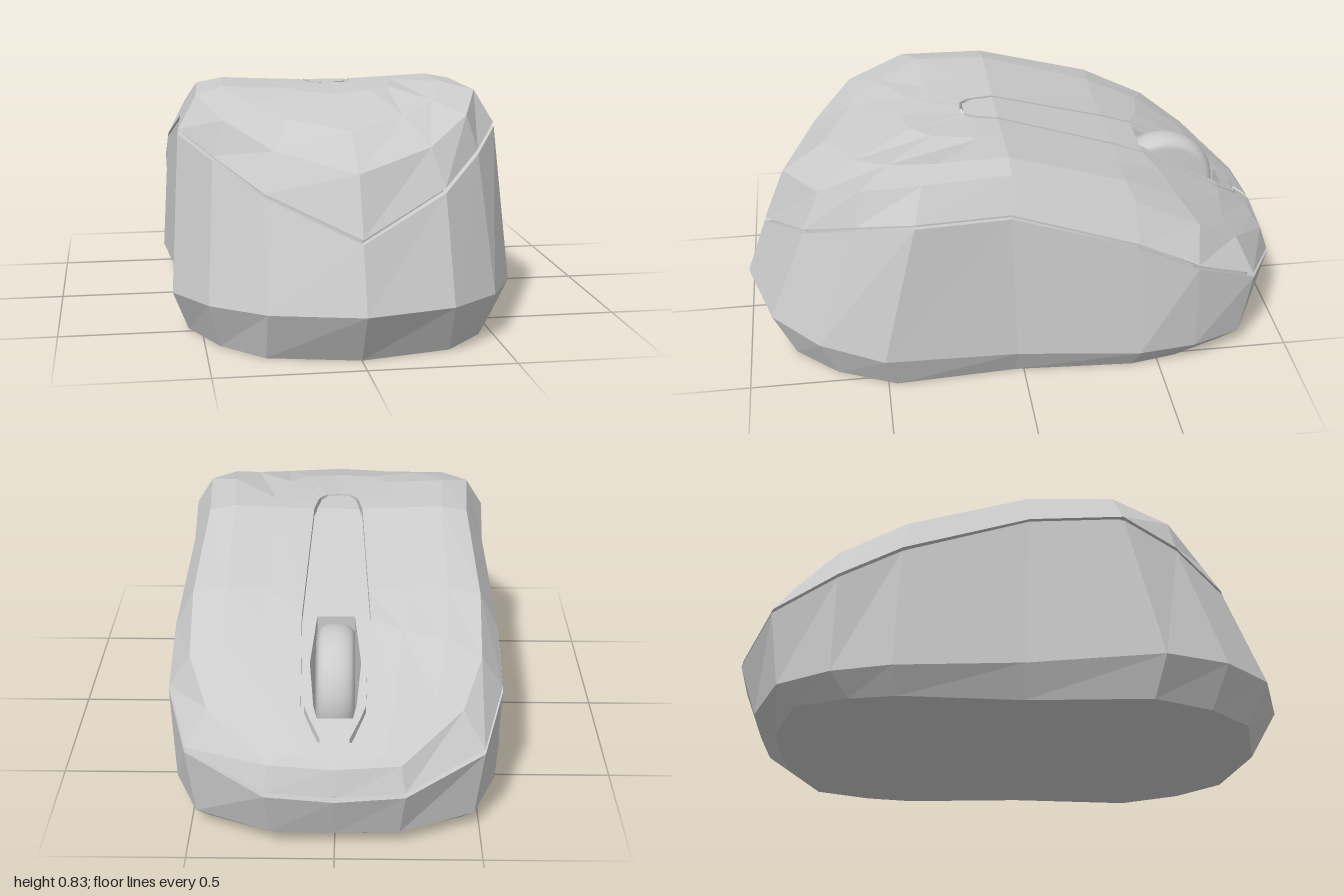
import * as THREE from 'three';

const material = new THREE.MeshStandardMaterial({ color: 0xcccccc, flatShading: true });
const openMaterial = new THREE.MeshStandardMaterial({ color: 0xcccccc, flatShading: true, side: THREE.DoubleSide });
const smoothMaterial = new THREE.MeshStandardMaterial({ color: 0xcccccc });

// Height of the top surface along the centre line: [z, y]
const SPINE = [[0.2, 0.826], [0.04, 0.822], [-0.38, 0.697], [-0.5, 0.655], [-0.8, 0.48], [-0.97, 0.345]];
function spineY(z) {
  for (let i = 1; i < SPINE.length; i++) {
    const [z0, y0] = SPINE[i - 1], [z1, y1] = SPINE[i];
    if (z >= z1 || i === SPINE.length - 1) return y0 + (y1 - y0) * Math.min(1, Math.max(0, (z0 - z) / (z0 - z1)));
  }
}

function meshFrom(name, positions, mat) {
  const geometry = new THREE.BufferGeometry();
  geometry.setAttribute('position', new THREE.Float32BufferAttribute(positions, 3));
  geometry.computeVertexNormals();
  const mesh = new THREE.Mesh(geometry, mat);
  mesh.name = name;
  return mesh;
}

function quad(out, a, b, c, d) {
  out.push(...a, ...b, ...c, ...a, ...c, ...d);
}

// Skins half rings of [x, z, y] points and mirrors them across x = 0
function loft(name, rings, mat = material) {
  const out = [];
  for (const side of [1, -1]) {
    const p = ([x, z, y]) => [x * side, y, z];
    for (let r = 0; r < rings.length - 1; r++) {
      const lo = rings[r], hi = rings[r + 1];
      for (let i = 0; i < lo.length - 1; i++) {
        const q = [p(lo[i]), p(lo[i + 1]), p(hi[i + 1]), p(hi[i])];
        if (side < 0) q.reverse();
        quad(out, ...q);
      }
    }
  }
  return meshFrom(name, out, mat);
}

// Half outlines from the palm end to the button end: [x, z, y]
const base = [[0, 0.9, 0], [0.31, 0.83, 0], [0.45, 0.68, 0], [0.545, 0.47, 0], [0.52, 0.03, 0],
  [0.545, -0.4, 0], [0.515, -0.57, 0], [0.44, -0.76, 0], [0.2, -0.85, 0], [0, -0.86, 0]];
const belly = [[0, 1, 0.175], [0.31, 0.91, 0.17], [0.49, 0.74, 0.16], [0.6, 0.51, 0.145], [0.575, 0.03, 0.115],
  [0.6, -0.42, 0.09], [0.565, -0.63, 0.08], [0.48, -0.82, 0.065], [0.22, -0.93, 0.06], [0, -0.935, 0.058]];
const seamLow = [[0, 0.92, 0.395], [0.305, 0.77, 0.525], [0.46, 0.585, 0.62], [0.568, 0.385, 0.682], [0.545, 0.05, 0.68],
  [0.575, -0.4, 0.54], [0.578, -0.62, 0.43], [0.505, -0.85, 0.325], [0.235, -0.988, 0.242], [0, -1, 0.23]];
const shoulder = [[0, 0.835, 0.61], [0.265, 0.705, 0.67], [0.42, 0.565, 0.755], [0.5, 0.35, 0.812], [0.48, 0.04, 0.817],
  [0.505, -0.39, 0.69], [0.498, -0.63, 0.57], [0.43, -0.79, 0.46], [0.22, -0.955, 0.345], [0, -0.97, 0.34]];
const crown = [[0, 0.67, 0.725], [0.2, 0.57, 0.755], [0.32, 0.46, 0.795], [0.4, 0.29, 0.835], [0.385, 0.04, 0.835],
  [0.39, -0.38, 0.706], [0.38, -0.58, 0.614], [0.34, -0.76, 0.49], [0.17, -0.935, 0.37], [0, -0.95, 0.36]];
const dish = [[0, 0.39, 0.812], [0.12, 0.36, 0.82], [0.19, 0.29, 0.826], [0.235, 0.12, 0.829], [0.23, 0.04, 0.828],
  [0.24, -0.38, 0.7], [0.23, -0.55, 0.628], [0.2, -0.79, 0.485], [0.11, -0.915, 0.388], [0, -0.93, 0.376]];
const slot = [[0, 0.17], [0.045, 0.165], [0.068, 0.14], [0.076, 0.12], [0.09, 0.04],
  [0.112, -0.38], [0.119, -0.5], [0.114, -0.8], [0.058, -0.9], [0, -0.905]].map(([x, z]) => [x, z, spineY(z)]);

const shift = (ring, s, dy) => ring.map(([x, z, y]) => [x * s, z * s, y + dy]);
// Leaves a fine split between the two buttons at the tip
const split = (ring) => ring.map(([x, z, y], i) => [i === ring.length - 1 ? 0.007 : x, z, y]);

// Centre strip rows: [z, half width]; the wheel opening spans rows 5 to 8
const STRIP = [[0.158, 0.035], [0.13, 0.056], [0.115, 0.064], [0.04, 0.079], [-0.38, 0.101],
  [-0.5, 0.108], [-0.66, 0.107], [-0.8, 0.103], [-0.835, 0.085], [-0.89, 0.05]];
const HOLE = { 5: 0.065, 6: 0.087, 7: 0.072, 8: 0.06 };

function strip(name, drop, widen, skirt) {
  const out = [];
  for (let i = 0; i < STRIP.length - 1; i++) {
    const [za, wa] = STRIP[i], [zb, wb] = STRIP[i + 1];
    const ya = spineY(za) - drop, yb = spineY(zb) - drop;
    const open = HOLE[i] && HOLE[i + 1];
    const ha = open ? HOLE[i] : 0, hb = open ? HOLE[i + 1] : 0;
    for (const s of [1, -1]) {
      const oa = s * (wa + widen), ob = s * (wb + widen);
      const top = [[s * ha, ya, za], [oa, ya, za], [ob, yb, zb], [s * hb, yb, zb]];
      if (s < 0) top.reverse();
      quad(out, ...top);
      if (skirt) quad(out, [oa, ya, za], [oa, ya - skirt, za], [ob, yb - skirt, zb], [ob, yb, zb]);
    }
  }
  return meshFrom(name, out, openMaterial);
}

// Walls and floor of the opening around the wheel
function wheelWell() {
  const right = Object.entries(HOLE).map(([i, h]) => [h, STRIP[i][0]]);
  const loop = [...right, ...right.map(([x, z]) => [-x, z]).reverse()];
  const out = [], floor = 0.25;
  loop.forEach(([x, z], i) => {
    const [x2, z2] = loop[(i + 1) % loop.length];
    quad(out, [x, spineY(z), z], [x2, spineY(z2), z2], [x2, floor, z2], [x, floor, z]);
    out.push(x, floor, z, x2, floor, z2, 0, floor, -0.66);
  });
  return meshFrom('wheelWell', out, openMaterial);
}

export function createModel() {
  const group = new THREE.Group();
  group.name = 'computerMouse';

  // Lower body with flat underside, turning in at the seam
  const underside = base.map(([, z]) => [0, z, 0]);
  const seamIn = shift(seamLow, 0.97, 0);
  group.add(loft('lowerBody', [underside, base, belly, seamLow, seamIn]));

  // Upper shell with bevelled shoulder, ending at the slot of the centre strip
  const seamInHigh = shift(seamLow, 0.97, 0.014);
  const seamHigh = shift(seamLow, 0.996, 0.016);
  group.add(loft('seamGroove', [seamIn, seamInHigh]));
  group.add(loft('upperShell', [seamInHigh, ...[seamHigh, shoulder, crown, dish, slot, shift(slot, 1, -0.03)].map(split)]));

  // Floor of the split between the buttons
  group.add(loft('buttonSplit', [
    [[0, -0.975, 0.24], [0.02, -0.975, 0.24]],
    [[0, -0.95, 0.325], [0.02, -0.95, 0.325]],
    [[0, -0.88, 0.38], [0.02, -0.88, 0.38]],
  ], openMaterial));

  // Centre strip, the floor of its slot, and the wheel well
  group.add(strip('centreStrip', 0, 0, 0.03));
  group.add(strip('slotFloor', 0.03, 0.012, 0));
  group.add(wheelWell());

  // Scroll wheel with a rounded rim
  const rim = [new THREE.Vector2(0, -0.066)];
  for (let i = 0; i <= 10; i++) {
    const t = -1 + i / 5;
    rim.push(new THREE.Vector2(0.16 + 0.04 * Math.sqrt(1 - t * t * 0.96), t * 0.066));
  }
  rim.push(new THREE.Vector2(0, 0.066));
  const wheel = new THREE.Mesh(new THREE.LatheGeometry(rim, 40), smoothMaterial);
  wheel.name = 'scrollWheel';
  wheel.rotation.z = Math.PI / 2;
  wheel.position.set(0, 0.46, -0.605);
  group.add(wheel);
  return group;
}
